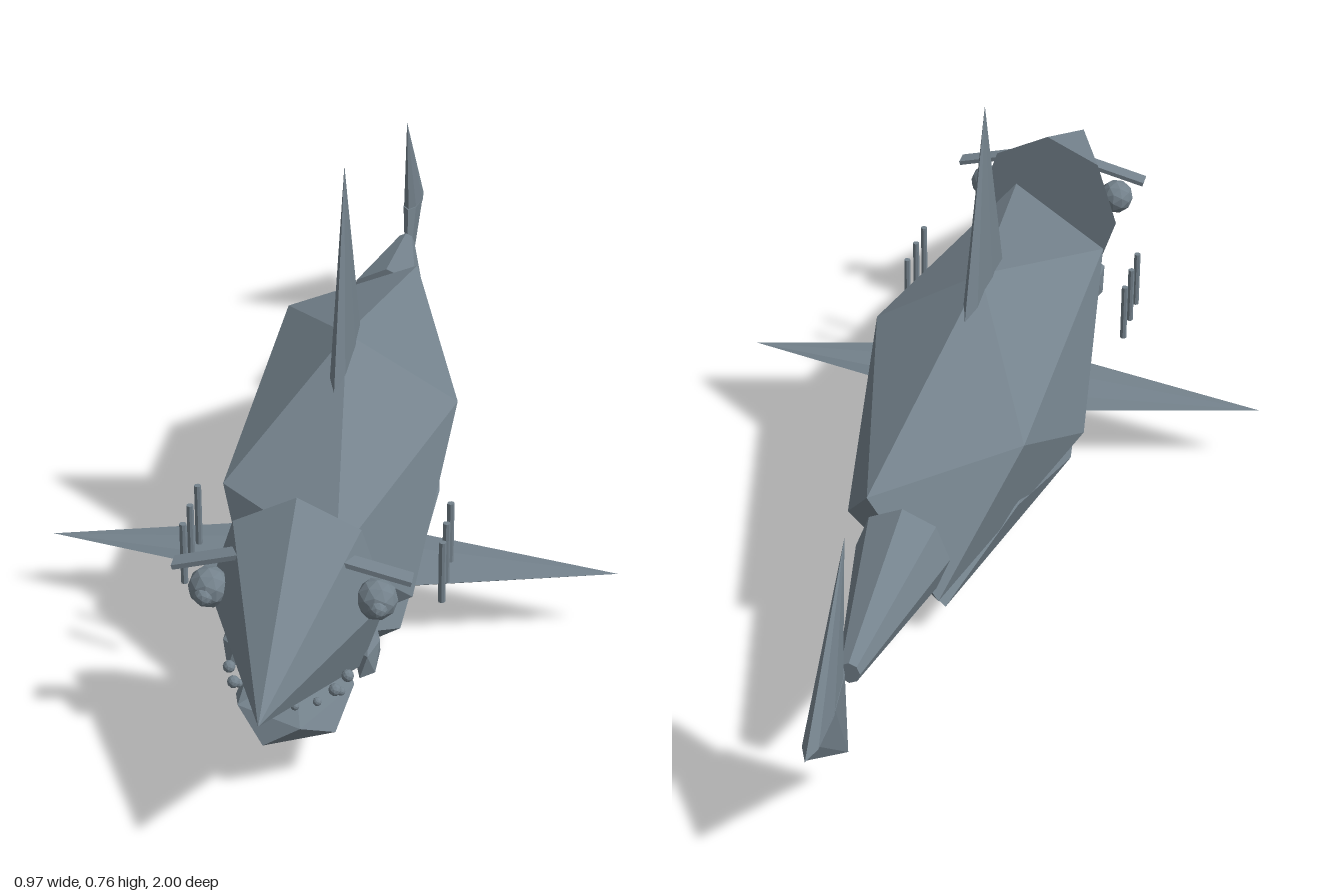
import * as THREE from 'three';
import { ConvexGeometry } from 'three/addons/geometries/ConvexGeometry.js';

export function createModel() {
  const model = new THREE.Group();
  model.name = 'shark';
  const skin = new THREE.MeshStandardMaterial({ color: 0x74828c });
  skin.name = 'slate grey';
  skin.flatShading = true;
  const V = (x, y, z) => new THREE.Vector3(x, y, z);

  function add(name, geometry, x = 0, y = 0, z = 0) {
    const mesh = new THREE.Mesh(geometry, skin);
    mesh.name = name;
    mesh.position.set(x, y, z);
    model.add(mesh);
    return mesh;
  }

  // Faceted ball with twelve corners: poles up and down, two rings of five
  function gem(sx, sy, sz) {
    const points = [V(0, sy, 0), V(0, -sy, 0)];
    for (let i = 0; i < 5; i++) {
      const a = i * Math.PI * 0.4;
      const x = 0.894 * Math.cos(a) * sx, z = 0.894 * Math.sin(a) * sz;
      points.push(V(x, 0.447 * sy, z), V(-x, -0.447 * sy, -z));
    }
    return new ConvexGeometry(points);
  }

  // Slanted cone or frustum on an elliptical base with half-axes u and v
  function spike(apex, base, u, v, tip = 0, sides = 8) {
    const points = tip ? [] : [apex];
    for (let i = 0; i < sides; i++) {
      const a = i * Math.PI * 2 / sides;
      const offset = u.clone().multiplyScalar(Math.cos(a)).addScaledVector(v, Math.sin(a));
      points.push(base.clone().add(offset));
      if (tip) points.push(apex.clone().addScaledVector(offset, tip));
    }
    return new ConvexGeometry(points);
  }

  // Trunk and belly
  add('body', gem(0.215, 0.212, 0.635), 0, 0.233, 0.09);
  add('belly', gem(0.185, 0.108, 0.565), 0, 0.113, 0.11);

  // Head: eight-sided cone with its underside raised into a palate
  const top = [[0, 0.435], [0.1, 0.386], [0.14, 0.262], [0.1, 0.14], [-0.1, 0.14], [-0.14, 0.262], [-0.1, 0.386]];
  add('head', new ConvexGeometry([V(0, 0.265, 1), ...top.map(([x, y]) => V(x, y, 0.637))]));

  // Jaw and mouth
  add('lowerJaw', gem(0.105, 0.04, 0.155), 0, 0.112, 0.675);
  add('tongue', gem(0.085, 0.045, 0.085), 0, 0.165, 0.625);
  for (let i = 0; i < 6; i++) {
    const x = -0.08 + i * 0.032;
    add('tooth', new THREE.IcosahedronGeometry(0.007, 1), x, 0.148, 0.775 - 8 * x * x);
  }

  // Paired parts
  for (const s of [1, -1]) {
    add('jawHinge', gem(0.022, 0.045, 0.06), s * 0.105, 0.145, 0.6);
    add('eye', new THREE.IcosahedronGeometry(0.033, 1), s * 0.13, 0.295, 0.685);
    add('pupil', new THREE.IcosahedronGeometry(0.016, 1), s * 0.134, 0.292, 0.708);
    const brow = add('brow', new THREE.BoxGeometry(0.108, 0.008, 0.03), s * 0.132, 0.348, 0.687);
    brow.rotation.z = -s * 0.25;
    for (const [x, z] of [[0.078, 0.775], [0.092, 0.735]]) {
      add('lipStud', new THREE.IcosahedronGeometry(0.01, 1), s * x, 0.185, z);
    }
    for (const z of [0.365, 0.43, 0.49]) {
      add('gill', new THREE.CylinderGeometry(0.006, 0.006, 0.11, 8), s * 0.21, 0.231, z);
    }
    add('pectoralFin', spike(V(s * 0.485, 0.116, 0.27), V(s * 0.1, 0.116, 0.27), V(0, 0, 0.095), V(0, 0.025, 0)));
  }

  // Back fin
  add('dorsalFin', spike(V(0, 0.765, 0.115), V(0, 0.405, 0.105), V(0, 0, 0.138), V(0.019, 0, 0)));

  // Tail stalk and two-lobed tail fin
  add('tailStalk', spike(V(0, 0.23, -0.768), V(0, 0.228, -0.45), V(0.08, 0, 0), V(0, 0.088, 0), 0.22));
  add('upperTailLobe', spike(V(0, 0.49, -0.77), V(0, 0.263, -0.906), V(0, -0.014, -0.094), V(0.018, 0, 0)));
  add('lowerTailLobe', spike(V(0, 0.085, -0.785), V(0, 0.268, -0.9), V(0, -0.018, -0.098), V(0.018, 0, 0)));

  return model;
}
